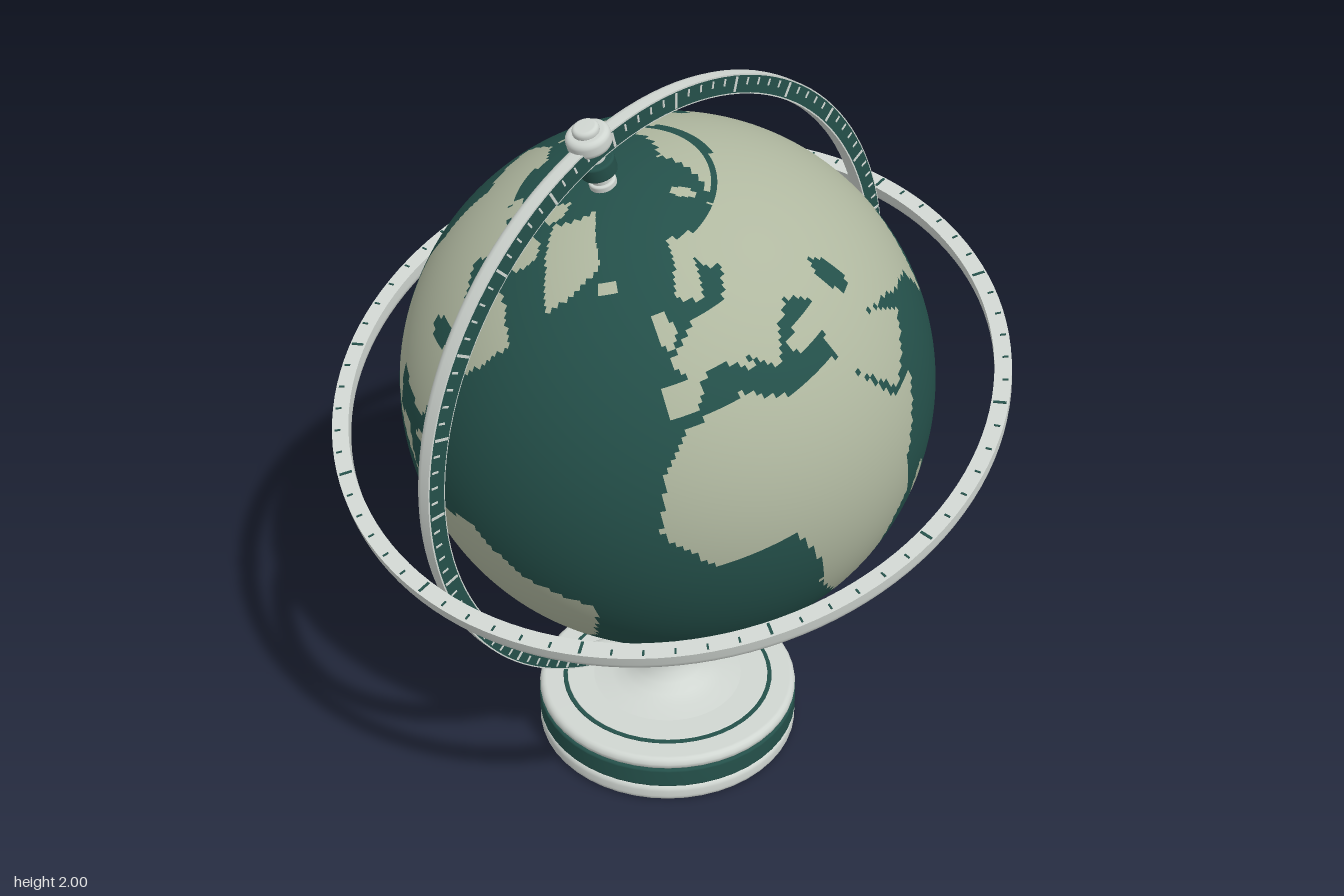
import * as THREE from 'three';
import { mergeGeometries } from 'three/addons/utils/BufferGeometryUtils.js';

const CENTRE_Y = 1.163, RADIUS = 0.695, TILT = THREE.MathUtils.degToRad(18.3), FRONT_LON = 27.8;

const material = (name, color) => Object.assign(new THREE.MeshStandardMaterial({ color }), { name });

// Simplified mainland outlines: longitude, latitude pairs in degrees
const MAINLANDS = {
  africa: [-17, 15, -13, 27, -6, 35, 10, 37, 20, 31, 34, 31, 43, 12, 51, 12, 40, -4, 40, -15, 35, -20, 32, -28, 27, -34,
    18, -34, 12, -17, 13, -10, 9, 4, -8, 4],
  europe: [-9, 37, -9, 43, -1, 44, -4, 48, 8, 54, 20, 54, 29, 60, 22, 61, 24, 66, 14, 56, 6, 59, 19, 70, 40, 67, 62, 69,
    62, 42, 41, 42, 35, 46, 28, 43, 22, 37, 14, 45, 17, 39, 9, 44, 3, 43, -2, 37],
  westAsia: [26, 40, 41, 42, 62, 42, 62, 25, 50, 30, 56, 25, 59, 22, 45, 13, 35, 28, 36, 36, 27, 37],
  eastAsia: [60, 69, 104, 77, 140, 72, 190, 66, 163, 59, 157, 51, 157, 60, 135, 54, 140, 48, 127, 35, 121, 39, 121, 29,
    107, 20, 108, 11, 100, 13, 104, 2, 97, 16, 91, 22, 80, 15, 77, 8, 72, 20, 60, 25],
  northAmerica: [-167, 66, -156, 71, -81, 68, -94, 60, -80, 52, -78, 62, -65, 59, -56, 52, -76, 36, -81, 26, -97, 29,
    -96, 18, -88, 21, -84, 10, -78, 8, -106, 22, -124, 40, -124, 48, -135, 59, -163, 55],
  southAmerica: [-77, 8, -62, 10, -50, 0, -35, -6, -41, -22, -58, -38, -69, -53, -74, -50, -70, -19, -81, -5],
  australia: [114, -23, 130, -12, 139, -17, 142, -11, 153, -26, 150, -37, 130, -31, 116, -35],
  antarctica: [-170, -84, -150, -76, -75, -73, -58, -64, -60, -82, -36, -79, -10, -71, 55, -67, 135, -66, 170, -71,
    160, -81, 190, -84, 190, -90, -170, -90],
  greenland: [-70, 77, -53, 68, -45, 60, -22, 70, -30, 83],
};

// Islands and inland waters as ovals: longitude, latitude, half width, half height
const ISLANDS = [
  [47, -19, 2.5, 6], [-2, 54, 3, 4], [-19, 65, 5, 1.5], [137, 36, 3, 4], [143, 50, 1, 4], [102, 0, 4, 4], [114, 1, 5, 5],
  [121, -2, 2, 3], [123, 12, 3, 6], [110, -7, 5, 1], [141, -5, 9, 3.5], [147, -42, 2, 1.5], [172, -42, 4, 4],
  [-78, 21, 5, 1.5], [-73, 69, 9, 4], [-110, 71, 9, 2], [-80, 79, 10, 3], [57, 74, 5, 2.5],
];
const WATERS = [[51, 41, 3, 5], [-85, 45, 6, 2.5], [115, 68, 61, 1.2]];

function inOutline(outline, x, y) {
  let hit = false;
  for (let i = 0, j = outline.length - 2; i < outline.length; j = i, i += 2) {
    const [xi, yi, xj, yj] = [outline[i], outline[i + 1], outline[j], outline[j + 1]];
    if ((yi > y) !== (yj > y) && x < (xj - xi) * (y - yi) / (yj - yi) + xi) hit = !hit;
  }
  return hit;
}

function isLand(lon, lat) {
  const inOval = ([x, y, w, h]) => ((lon - x) / w) ** 2 + ((lat - y) / h) ** 2 < 1;
  if (WATERS.some(inOval)) return false;
  return ISLANDS.some(inOval) || Object.values(MAINLANDS).some((outline) => inOutline(outline, lon, lat));
}

// Sphere whose grid cells are sorted into a sea group and a land group
function globeGeometry(columns) {
  const geo = new THREE.SphereGeometry(RADIUS, columns, columns / 2);
  const pos = geo.attributes.position, index = geo.index.array, sea = [], land = [];
  const step = 360 / columns, snap = (angle) => (Math.floor(THREE.MathUtils.radToDeg(angle) / step) + 0.5) * step;
  const c = new THREE.Vector3(), v = new THREE.Vector3();
  for (let i = 0; i < index.length; i += 3) {
    const corners = index.slice(i, i + 3);
    c.set(0, 0, 0);
    corners.forEach((k) => c.add(v.fromBufferAttribute(pos, k)));
    c.normalize();
    let lon = snap(Math.atan2(c.x, c.z)) + FRONT_LON;
    if (lon < -170) lon += 360;
    if (lon >= 190) lon -= 360;
    (isLand(lon, snap(Math.asin(c.y))) ? land : sea).push(...corners);
  }
  geo.setIndex(sea.concat(land));
  geo.clearGroups();
  geo.addGroup(0, sea.length, 0);
  geo.addGroup(sea.length, land.length, 1);
  return geo;
}

export function createModel() {
  const green = material('deep green', 0x24504a);
  const sand = material('pale land', 0xb0b8a0);
  const silver = material('silver', 0xd0d6d1);
  const model = new THREE.Group();
  model.name = 'deskGlobe';

  const add = (parent, name, geo, mat) => {
    const mesh = new THREE.Mesh(geo, mat);
    mesh.name = name;
    parent.add(mesh);
  };
  const lathe = (parent, name, mat, points, segments = 48) =>
    add(parent, name, new THREE.LatheGeometry(points.map(([r, y]) => new THREE.Vector2(r, y)), segments), mat);

  // Disc with rounded upper and lower edges
  function disc(parent, name, mat, r, bottom, top, round) {
    const points = [[0, bottom]];
    for (const [y, start] of [[bottom + round, -Math.PI / 2], [top - round, 0]]) {
      for (let i = 0; i <= 4; i++) {
        const a = start + i * Math.PI / 8;
        points.push([r - round + round * Math.cos(a), y + round * Math.sin(a)]);
      }
    }
    lathe(parent, name, mat, [...points, [0, top]]);
  }

  // Round-backed ring lying flat, with a scale on its upper face
  function scaleRing(name, r, w, faceMat, tickMat, count, longEvery) {
    const ring = new THREE.Group();
    ring.name = name;
    const h = 0.027, back = [[r - w, h]];
    for (let i = 0; i <= 10; i++) {
      const a = Math.PI * (1 + i / 10);
      back.push([r + w * Math.cos(a), h * Math.sin(a)]);
    }
    back.push([r + w, h]);
    lathe(ring, name + 'Back', silver, back, 128);
    lathe(ring, name + 'Rim', silver, [[r + w, h], [r - w, h]], 128);
    lathe(ring, name + 'Face', faceMat, [[r + w * 0.86, h + 0.001], [r - w * 0.86, h + 0.001]], 128);
    const ticks = [];
    for (let i = 0; i < count; i++) {
      const long = i % longEvery === 0;
      const tick = new THREE.BoxGeometry(w * (long ? 1.5 : 0.7), 0.002, long ? 0.007 : 0.005);
      ticks.push(tick.translate(r + (long ? 0 : w * 0.3), h + 0.002, 0).rotateY(i / count * Math.PI * 2));
    }
    add(ring, name + 'Ticks', mergeGeometries(ticks), tickMat);
    ring.position.y = CENTRE_Y;
    model.add(ring);
    return ring;
  }
  scaleRing('meridianRing', 0.809, 0.026, green, silver, 120, 5).rotation.x = Math.PI / 2;
  scaleRing('horizonRing', 0.867, 0.022, silver, green, 72, 6).quaternion
    .setFromUnitVectors(new THREE.Vector3(0, 1, 0), new THREE.Vector3(-0.283, 0.955, 0.087).normalize());

  // Tilted globe with a pivot at each pole
  const globe = new THREE.Group();
  globe.name = 'tiltedGlobe';
  globe.position.y = CENTRE_Y;
  globe.rotation.z = TILT;
  model.add(globe);
  add(globe, 'globeBall', globeGeometry(288), [green, sand]);
  for (const [name, turn] of [['northPivot', 0], ['southPivot', Math.PI]]) {
    const pivot = new THREE.Group();
    pivot.name = name;
    pivot.rotation.z = turn;
    globe.add(pivot);
    disc(pivot, 'pinFoot', silver, 0.034, 0.68, 0.71, 0.005);
    disc(pivot, 'pin', silver, 0.026, 0.69, 0.82, 0.003);
    disc(pivot, 'collar', green, 0.046, 0.733, 0.775, 0.006);
    disc(pivot, 'knob', silver, 0.055, 0.812, 0.858, 0.015);
    disc(pivot, 'knobCap', silver, 0.033, 0.85, 0.875, 0.01);
  }

  // Turned pedestal
  const base = new THREE.Group();
  base.name = 'pedestal';
  model.add(base);
  disc(base, 'foot', silver, 0.37, 0, 0.057, 0.02);
  disc(base, 'footBand', green, 0.37, 0.055, 0.117, 0.007);
  disc(base, 'footTop', silver, 0.368, 0.114, 0.153, 0.018);
  disc(base, 'inlay', green, 0.3, 0.14, 0.156, 0.002);
  disc(base, 'plinth', silver, 0.288, 0.14, 0.158, 0.002);
  lathe(base, 'stem', silver, [[0.22, 0.157], [0.16, 0.164], [0.125, 0.176], [0.098, 0.195], [0.081, 0.22],
    [0.073, 0.25], [0.075, 0.28], [0.092, 0.312]]);
  disc(base, 'stemCollar', silver, 0.102, 0.304, 0.34, 0.014);
  disc(base, 'ringHolder', green, 0.075, 0.335, 0.435, 0.004);
  return model;
}
